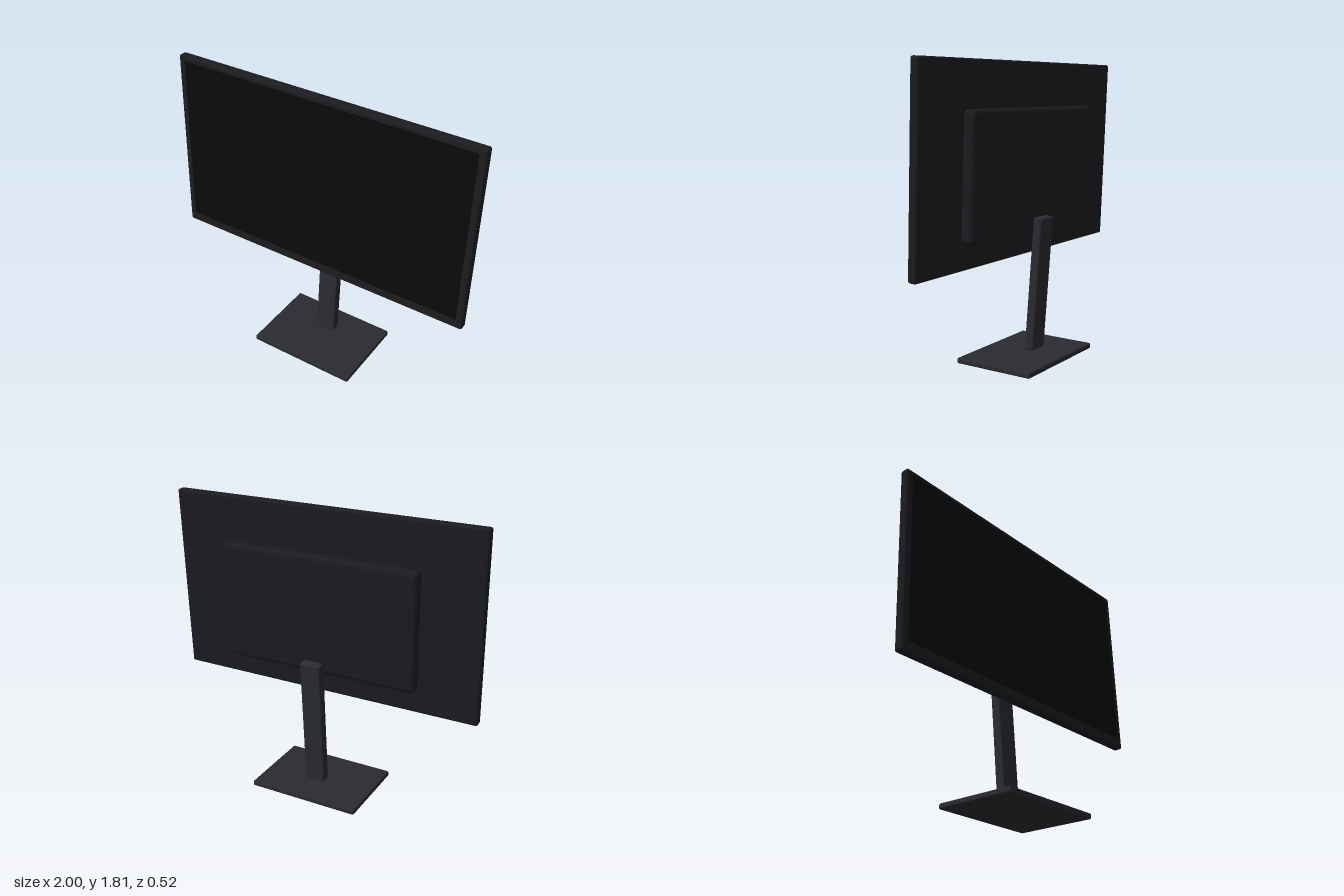
import * as THREE from 'three';
import { RoundedBoxGeometry } from 'three/addons/geometries/RoundedBoxGeometry.js';

const material = (color) => new THREE.MeshStandardMaterial({ color });

// Box with rounded edges, centred on its own origin
function slab(name, [w, h, d], radius, mat, y, z) {
  const mesh = new THREE.Mesh(new RoundedBoxGeometry(w, h, d, 3, radius), mat);
  mesh.name = name;
  mesh.position.set(0, y, z);
  return mesh;
}

export function createModel() {
  const model = new THREE.Group();
  model.name = 'monitor';
  const shell = material(0x1c1c20);
  const metal = material(0x2a2a30);

  // Display head, leaning slightly back
  const head = new THREE.Group();
  head.name = 'displayHead';
  head.position.set(0, 1.227, 0.028);
  head.rotation.x = -0.04;
  head.add(slab('panel', [2, 1.174, 0.058], 0.014, shell, 0, 0));
  head.add(slab('rearHousing', [1.274, 0.743, 0.086], 0.03, shell, -0.055, -0.072));

  // Screen, with a deeper bezel along the bottom
  const screen = new THREE.Mesh(new THREE.BoxGeometry(1.914, 1.08, 0.004), material(0x0b0b0c));
  screen.name = 'screen';
  screen.position.set(0, 0.016, 0.0285);
  head.add(screen);
  model.add(head);

  // Stand column, leaning back
  const column = slab('column', [0.135, 0.829, 0.062], 0.013, metal, 0.475, -0.096);
  column.rotation.x = -0.08;
  model.add(column);

  // Flat foot
  model.add(slab('base', [0.72, 0.035, 0.525], 0.01, metal, 0.0175, 0));
  return model;
}
